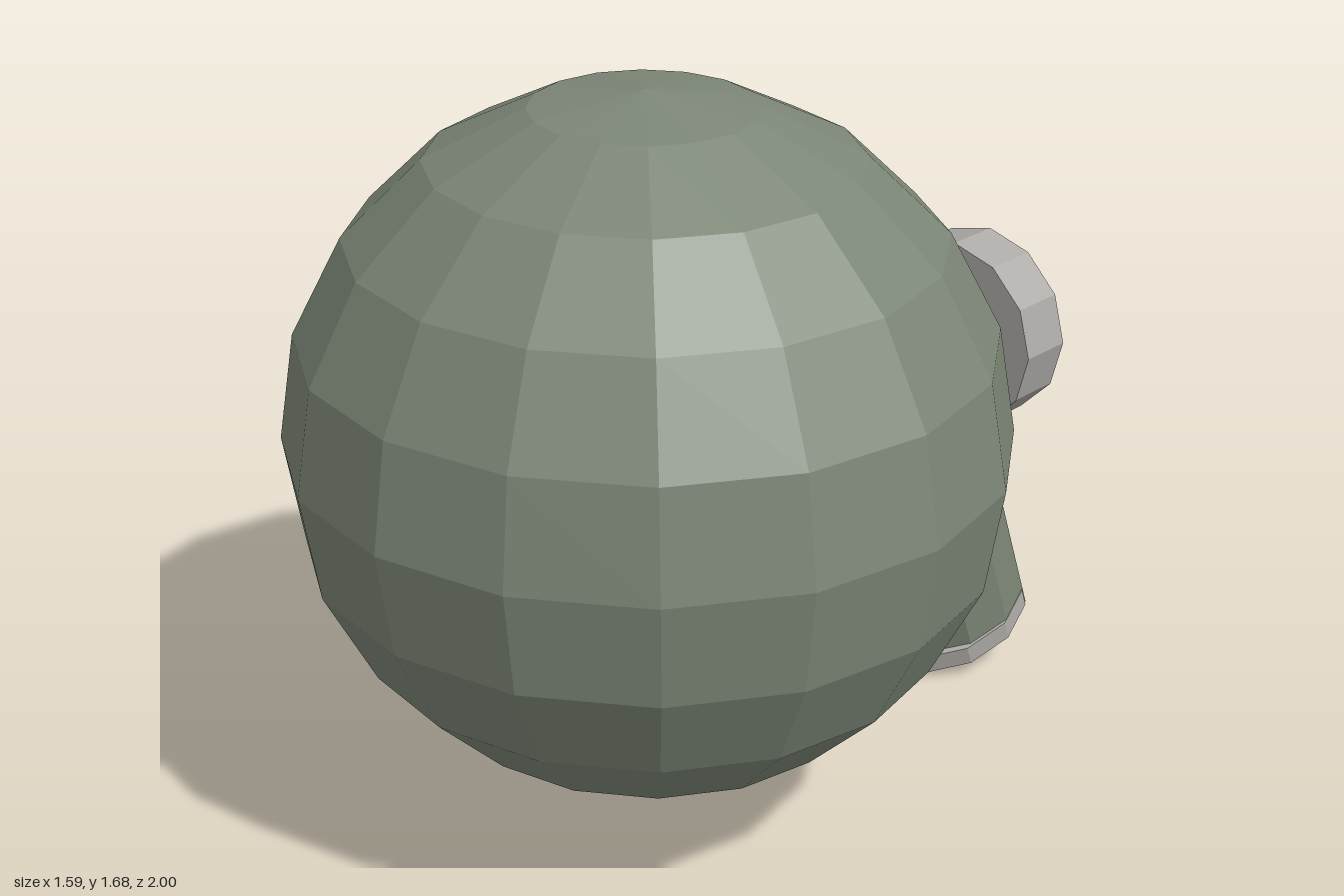
import * as THREE from 'three';

export function createModel() {
  const model = new THREE.Group();
  const mat = (name, color) => {
    const m = new THREE.MeshStandardMaterial({ color, flatShading: true });
    m.name = name;
    return m;
  };
  const green = mat('rubber green', 0x7c8676);
  const grey = mat('metal grey', 0xadaaa7);
  const glass = mat('lens blue', 0x566670);

  const add = (parent, name, geometry, material, x, y, z) => {
    const mesh = new THREE.Mesh(geometry, material);
    mesh.name = name;
    mesh.position.set(x, y, z);
    parent.add(mesh);
    return mesh;
  };

  // Head: faceted ball, slightly wider than deep
  add(model, 'head', new THREE.SphereGeometry(0.77, 16, 10), green, 0, 0.91, 0.23).scale.x = 1.03;

  // Goggles: a rim and a raised lens on each side, facing backwards
  const rim = new THREE.CylinderGeometry(0.214, 0.214, 0.125, 12).rotateX(Math.PI / 2);
  const lens = new THREE.CylinderGeometry(0.177, 0.177, 0.08, 12).rotateX(Math.PI / 2);
  for (const [side, s] of [['left', 1], ['right', -1]]) {
    add(model, side + 'GoggleRim', rim, grey, s * 0.28, 1.012, -0.508);
    add(model, side + 'GoggleLens', lens, glass, s * 0.28, 1.012, -0.565);
  }

  // Snout: ten-sided cone widening away from the head, tilted 20 degrees down
  const tilt = THREE.MathUtils.degToRad(20);
  const snout = new THREE.CylinderGeometry(0.18, 0.115, 0.38, 10)
    .rotateY(Math.PI / 10)
    .translate(0, -0.19, 0)
    .rotateX(-Math.PI / 2 - tilt);
  add(model, 'snout', snout, green, 0, 0.533, -0.69);

  // Filter canister hanging from the snout, with a grey base plate
  const filter = new THREE.Group();
  filter.name = 'filter';
  filter.position.set(0, 0.278, -0.7285);
  filter.rotation.x = tilt;
  model.add(filter);
  add(filter, 'filterCanister', new THREE.CylinderGeometry(0.2125, 0.2125, 0.404, 12), green, 0, 0, 0).scale.x = 1.035;
  add(filter, 'filterBase', new THREE.CylinderGeometry(0.224, 0.224, 0.05, 12), grey, 0, -0.181, 0.012);

  return model;
}
